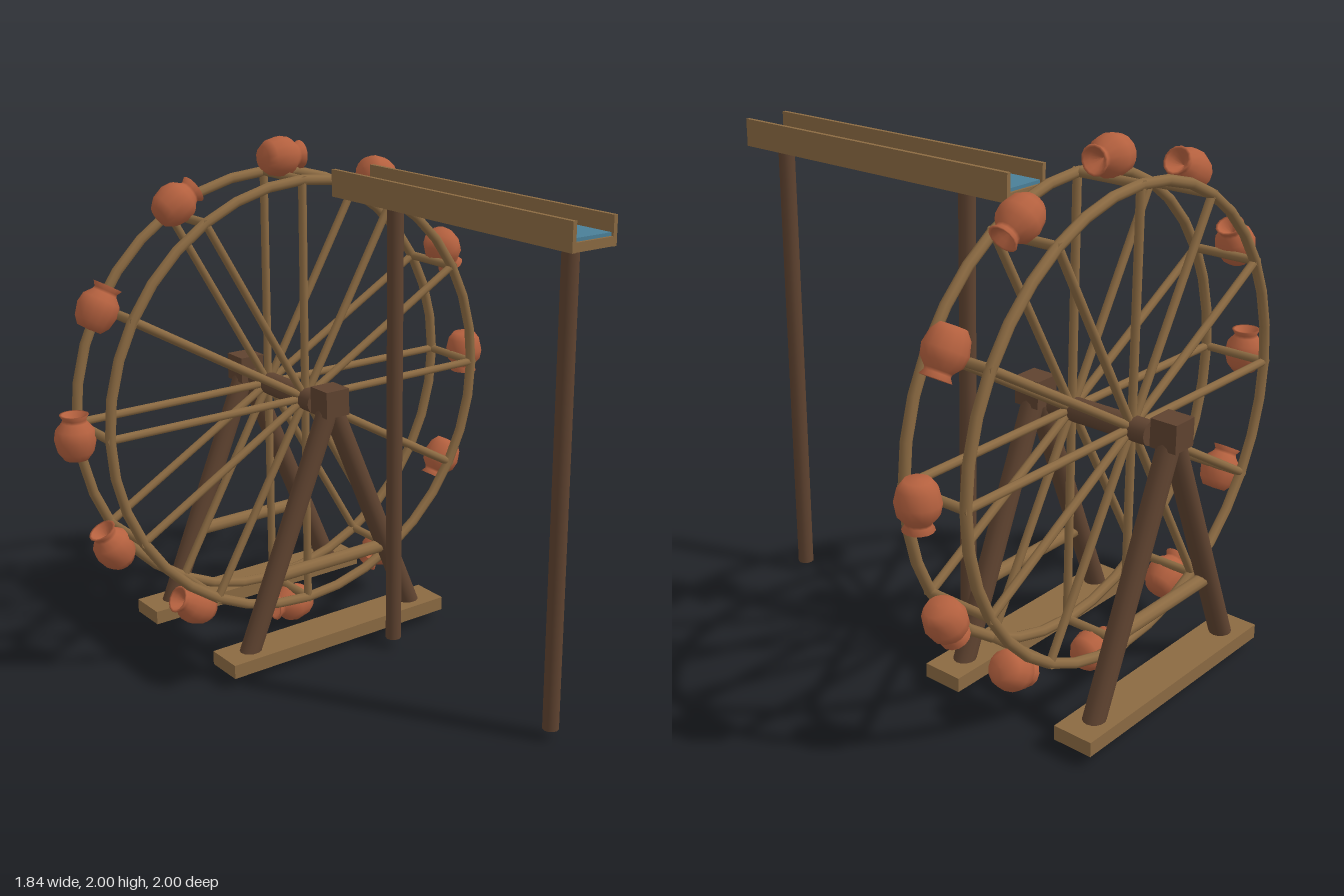
import * as THREE from 'three';

const makeMaterial = (name, color) => {
  const m = new THREE.MeshStandardMaterial({ color });
  m.name = name;
  return m;
};

export function createModel() {
  const wood = makeMaterial('light wood', 0x8b6a42);
  const darkWood = makeMaterial('dark wood', 0x5f4330);
  const clay = makeMaterial('clay', 0xb5613f);
  const water = makeMaterial('water', 0x4a7f98);

  const root = new THREE.Group();
  root.name = 'waterWheel';

  const add = (parent, name, geometry, material, x = 0, y = 0, z = 0) => {
    const mesh = new THREE.Mesh(geometry, material);
    mesh.name = name;
    mesh.position.set(x, y, z);
    parent.add(mesh);
    return mesh;
  };
  const box = (parent, name, size, pos, material) =>
    add(parent, name, new THREE.BoxGeometry(...size), material, ...pos);

  // Round pole between two points
  const pole = (parent, name, a, b, radius, material, sides = 10) => {
    const from = new THREE.Vector3(...a), to = new THREE.Vector3(...b);
    const dir = to.clone().sub(from);
    const mesh = add(parent, name, new THREE.CylinderGeometry(radius, radius, dir.length(), sides), material);
    mesh.position.copy(from).add(to).multiplyScalar(0.5);
    mesh.quaternion.setFromUnitVectors(new THREE.Vector3(0, 1, 0), dir.normalize());
    return mesh;
  };

  // Wheel: local origin at the hub, axis along x
  const wheel = new THREE.Group();
  wheel.name = 'wheel';
  wheel.position.set(-0.55, 1, 0);
  root.add(wheel);
  const R = 0.85, halfWidth = 0.13;
  pole(wheel, 'axle', [-0.21, 0, 0], [0.21, 0, 0], 0.045, darkWood, 16);

  for (const x of [-halfWidth, halfWidth]) {
    const rim = add(wheel, 'rim', new THREE.TorusGeometry(R, 0.02, 8, 36), wood, x);
    rim.rotation.y = Math.PI / 2;
  }

  // Jug profile, base to rim and back inside
  const jugProfile = [
    [0, -0.09], [0.045, -0.088], [0.066, -0.06], [0.077, -0.012], [0.07, 0.025],
    [0.046, 0.052], [0.043, 0.062], [0.054, 0.08], [0.044, 0.08], [0.035, 0.06], [0, 0.03],
  ].map(([r, y]) => new THREE.Vector2(r, y));
  const jugGeometry = new THREE.LatheGeometry(jugProfile, 14);

  // Spokes, rungs and jugs repeat every 30 degrees
  for (let i = 0; i < 12; i++) {
    const sector = new THREE.Group();
    sector.name = 'wheelSector';
    sector.rotation.x = (i * Math.PI) / 6;
    wheel.add(sector);
    for (const x of [-halfWidth, halfWidth]) {
      pole(sector, 'spoke', [x, 0, 0], [x, R, 0], 0.016, wood, 8);
    }
    pole(sector, 'rung', [-0.145, R, 0], [0.145, R, 0], 0.017, wood, 8);
    const jug = add(sector, 'jug', jugGeometry, clay, 0, 0.923, 0);
    jug.rotation.x = -Math.PI / 2; // mouth leads along the rim
  }

  // A-frame supports on both sides of the wheel
  for (const x of [-0.845, -0.255]) {
    const support = new THREE.Group();
    support.name = 'support';
    support.position.x = x;
    root.add(support);
    box(support, 'baseBeam', [0.155, 0.055, 1.015], [0, 0.068, 0], wood);
    box(support, 'bearingBlock', [0.105, 0.105, 0.105], [0, 1.03, 0], darkWood);
    for (const s of [-1, 1]) {
      pole(support, 'supportLeg', [0, 1.02, 0], [0, 0.05, 0.405 * s], 0.041, darkWood, 14);
    }
    pole(support, 'crossBrace', [0, 0.37, -0.27], [0, 0.37, 0.27], 0.026, wood);
  }

  // Raised water channel
  const channel = new THREE.Group();
  channel.name = 'channel';
  channel.position.set(0.278, 0, -0.19);
  root.add(channel);
  const length = 1.275;
  box(channel, 'channelFloor', [length, 0.032, 0.19], [0, 1.804, 0], wood);
  for (const s of [-1, 1]) {
    box(channel, 'channelWall', [length, 0.102, 0.016], [0, 1.838, 0.09 * s], wood);
  }
  box(channel, 'waterSurface', [length - 0.02, 0.012, 0.164], [0, 1.826, 0], water);
  for (const x of [-0.376, 0.532]) {
    pole(channel, 'channelPost', [x, 0.04, 0], [x, 1.79, 0], 0.031, darkWood, 12);
  }

  return root;
}
